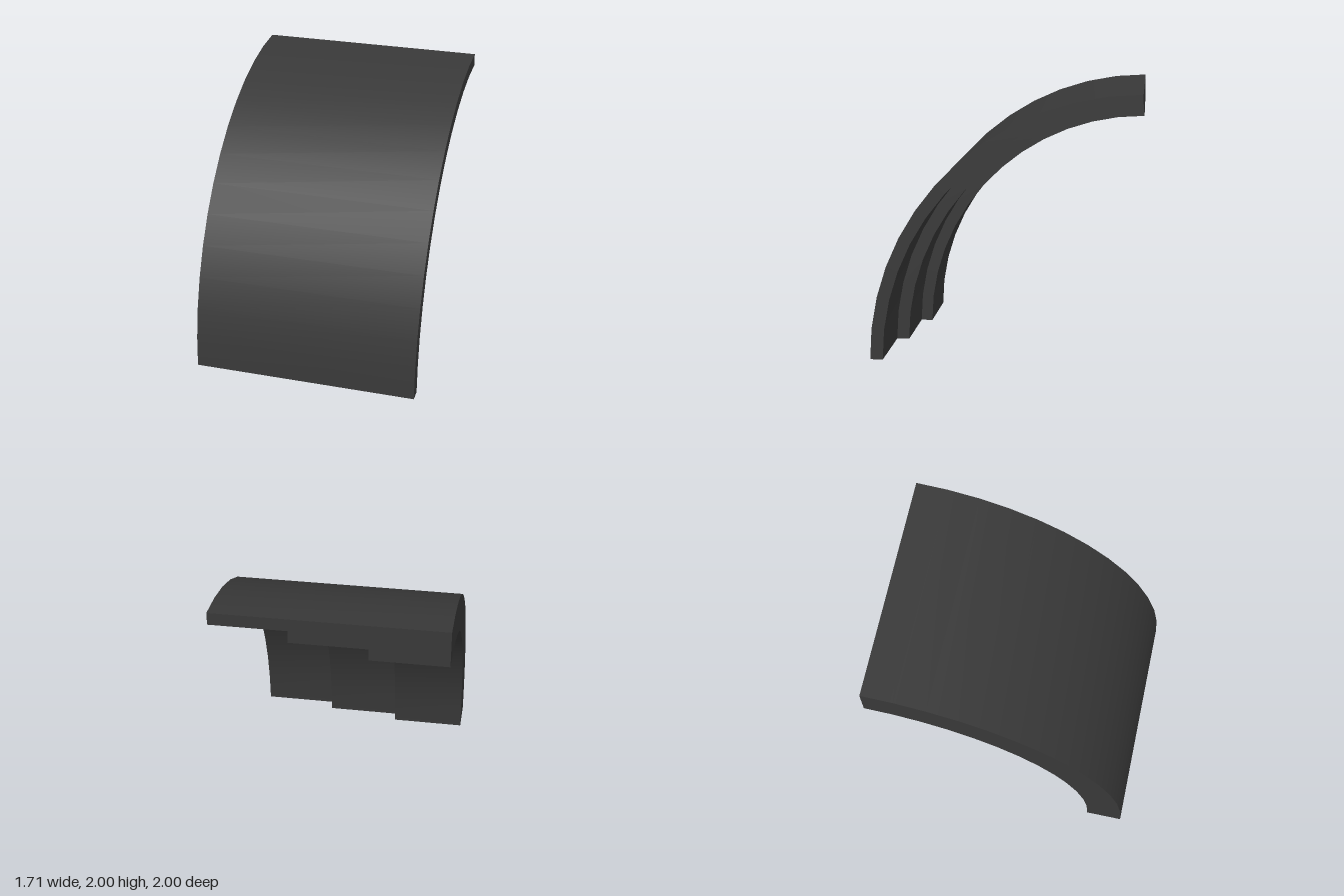
import * as THREE from 'three';
import { mergeGeometries, toCreasedNormals } from 'three/addons/utils/BufferGeometryUtils.js';

const HALF_WIDTH = 0.855;
const STEP = HALF_WIDTH / 3;
const SEGMENTS = 13;
const START = Math.PI * 1.5;
const SWEEP = Math.PI / 2;

// Stepped cross-section: radius against position along the arch axis
const section = [
  [2, -HALF_WIDTH], [2, HALF_WIDTH],
  [1.905, HALF_WIDTH], [1.905, STEP],
  [1.81, STEP], [1.81, -STEP],
  [1.72, -STEP], [1.72, -HALF_WIDTH],
].map(([r, a]) => new THREE.Vector2(r, a));

// Flat end of the arch at a given sweep angle
function endCap(angle, flip) {
  const cap = new THREE.ShapeGeometry(new THREE.Shape(section));
  if (flip) cap.index.array.reverse();
  return cap.rotateY(angle - Math.PI / 2);
}

export function createModel() {
  const group = new THREE.Group();
  group.name = 'quarterArch';

  // Quarter-turn sweep of the closed section, closed by its two ends
  const sweep = new THREE.LatheGeometry([...section, section[0]], SEGMENTS, START, SWEEP);
  const solid = mergeGeometries([sweep, endCap(START, false), endCap(START + SWEEP, true)]);

  // Lay the sweep axis along x, with its centre at the back on the floor
  solid.rotateZ(-Math.PI / 2).translate(0, 0, -1);

  const arch = new THREE.Mesh(
    toCreasedNormals(solid, 0.5),
    new THREE.MeshStandardMaterial({ color: 0x383838 })
  );
  arch.name = 'steppedArch';
  group.add(arch);
  return group;
}
